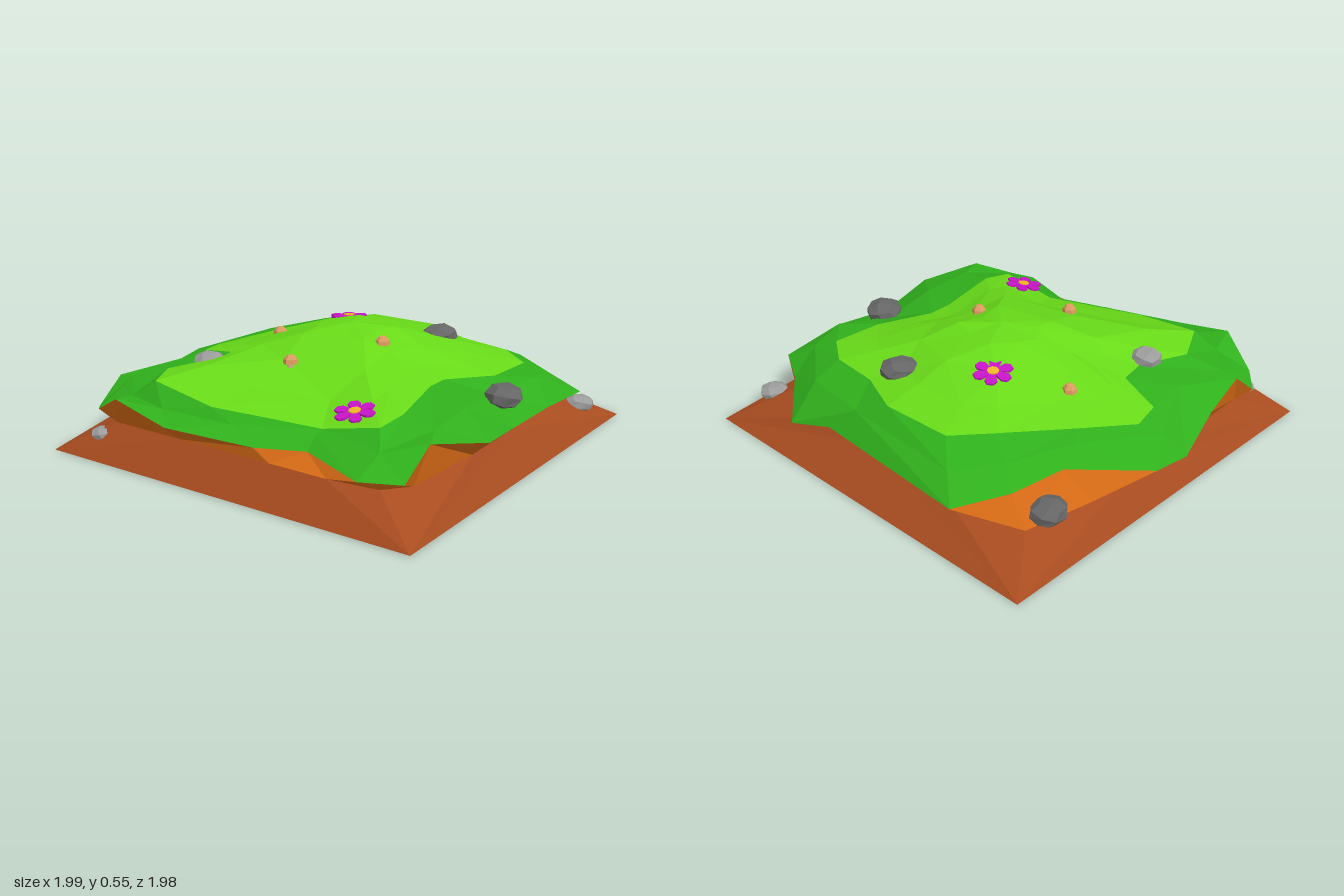
import * as THREE from 'three';

const PEAK = [0, 0.545, -0.05];

// Outlines as x, y, z triples
const WAIST = [
  -.8, .13, -.74, -.4, .16, -.82, .1, .17, -.8, .5, .16, -.84, .75, .16, -.72, .84, .16, -.5,
  .86, .17, -.1, .87, .17, .3, .82, .15, .7, .74, .16, .83, .5, .165, .87, .2, .165, .87,
  -.3, .165, .87, -.7, .16, .86, -.84, .14, .7, -.87, .16, .3, -.87, .15, -.1, -.87, .13, -.4,
];
const RIM = [
  -.58, .25, -.965, .315, .2, -.87, .52, .16, -.93, .77, .21, -.71, .95, .22, -.61, .96, .25, -.24,
  .935, .23, .04, .985, .27, .36, .855, .32, .63, .85, .2, .815, .67, .2, .895, .34, .22, .78,
  .12, .22, .875, -.3, .25, .97, -.6, .32, .96, -.8, .21, .875, -.89, .18, .78, -.88, .3, .64,
  -.915, .24, .4, -1, .18, .1, -.99, .2, -.1, -.75, .27, -.45, -.71, .27, -.73,
];
const SHOULDER = [
  -.45, .32, -.85, .2, .31, -.8, .55, .3, -.75, .8, .31, -.55, .84, .34, -.36, .75, .31, -.1,
  .78, .34, .2, .8, .33, .5, .68, .28, .74, .33, .265, .71, -.05, .27, .81, -.42, .28, .85,
  -.64, .29, .81, -.8, .31, .64, -.75, .33, .35, -.9, .28, .05, -.72, .33, -.33, -.6, .33, -.65,
];
const LAWN = [
  -.32, .38, -.73, .04, .38, -.745, .28, .37, -.64, .54, .36, -.61, .7, .35, -.495, .68, .35, -.24,
  .545, .37, 0, .545, .37, .12, .63, .36, .48, .61, .34, .63, .33, .285, .66, -.18, .32, .79,
  -.53, .37, .77, -.63, .36, .575, -.53, .36, .34, -.555, .36, .2, -.77, .32, .145, -.8, .31, 0,
  -.65, .345, -.265, -.46, .38, -.57,
];

function points(list) {
  const out = [];
  for (let i = 0; i < list.length; i += 3) out.push(list.slice(i, i + 3));
  return out;
}

const angle = (p) => Math.atan2(p[2] - PEAK[2], p[0] - PEAK[0]);

// Joins two rings of different counts with triangles, walking round by angle
function stitch(outer, inner, out) {
  const A = [...outer].sort((a, b) => angle(a) - angle(b));
  const B = [...inner].sort((a, b) => angle(a) - angle(b));
  const at = (r, i) => r[i % r.length];
  const turn = (r, i) => angle(at(r, i)) + (i >= r.length ? Math.PI * 2 : 0);
  const middle = (r, i) => (turn(r, i) + turn(r, i + 1)) / 2;
  const nB = B.length > 1 ? B.length : 0;
  let i = 0, j = 0;
  while (i < A.length || j < nB) {
    const stepA = j >= nB || (i < A.length && middle(A, i) <= middle(B, j));
    if (stepA) {
      out.push(...at(A, i), ...at(B, j), ...at(A, i + 1));
      i++;
    } else {
      out.push(...at(A, i), ...at(B, j), ...at(B, j + 1));
      j++;
    }
  }
}

const material = (color, side = THREE.FrontSide) =>
  new THREE.MeshStandardMaterial({ color, flatShading: true, side });

function addMesh(parent, name, geometry, mat) {
  const mesh = new THREE.Mesh(geometry, mat);
  mesh.name = name;
  parent.add(mesh);
  return mesh;
}

// A faceted skin over a sequence of rings, outermost (or lowest) first
function addSkin(parent, name, rings, color) {
  const pos = [];
  for (let k = 0; k + 1 < rings.length; k++) stitch(rings[k], rings[k + 1], pos);
  const geo = new THREE.BufferGeometry();
  geo.setAttribute('position', new THREE.Float32BufferAttribute(pos, 3));
  geo.computeVertexNormals();
  return addMesh(parent, name, geo, material(color, THREE.DoubleSide));
}

// Chunky rock: a subdivided cube pushed out to a sphere and flattened
function addRock(parent, name, x, y, z, r, color) {
  const geo = new THREE.BoxGeometry(1, 1, 1, 2, 2, 2);
  const pos = geo.attributes.position;
  const v = new THREE.Vector3();
  for (let i = 0; i < pos.count; i++) {
    v.fromBufferAttribute(pos, i).setLength(r);
    pos.setXYZ(i, v.x, v.y, v.z);
  }
  geo.rotateX(0.35);
  geo.rotateZ(0.3);
  const rock = addMesh(parent, name, geo, material(color));
  rock.scale.set(0.95, 0.6, 1.05);
  rock.rotation.y = x * 5 + z * 3;
  rock.position.set(x, y, z);
}

function addFlower(parent, x, y, z, tiltX, tiltZ) {
  const flower = new THREE.Group();
  flower.name = 'flower';
  // Petal: narrow at the centre, broad and blunt outside
  const petalShape = new THREE.Shape(
    [[0.015, -0.012], [0.07, -0.029], [0.093, -0.016], [0.093, 0.016], [0.07, 0.029], [0.015, 0.012]]
      .map((p) => new THREE.Vector2(...p)));
  const petalGeo = new THREE.ExtrudeGeometry(petalShape, { depth: 0.01, bevelEnabled: false });
  petalGeo.rotateX(-Math.PI / 2);
  for (let i = 0; i < 6; i++) {
    addMesh(flower, 'petal', petalGeo, material(0xc814c8)).rotation.y = (i / 6) * Math.PI * 2;
  }
  addMesh(flower, 'flowerCentre', new THREE.CylinderGeometry(0.028, 0.032, 0.03, 8), material(0xf0b428));
  flower.position.set(x, y, z);
  flower.rotation.set(tiltX, 0.1, tiltZ);
  parent.add(flower);
}

// Domed cap sitting low in the grass on a short stem
function addMushroom(parent, x, y, z) {
  const mushroom = new THREE.Group();
  mushroom.name = 'mushroom';
  const cap = new THREE.LatheGeometry(
    [[0, 0], [0.037, 0], [0.033, 0.02], [0.018, 0.037], [0, 0.042]].map((p) => new THREE.Vector2(...p)), 6);
  addMesh(mushroom, 'mushroomCap', cap, material(0xdc9c60));
  addMesh(mushroom, 'mushroomStem', new THREE.CylinderGeometry(0.016, 0.018, 0.04, 6), material(0xdcb488))
    .position.y = -0.015;
  mushroom.position.set(x, y, z);
  parent.add(mushroom);
}

export function createModel() {
  const model = new THREE.Group();
  model.name = 'grassyMound';
  const waist = points(WAIST), rim = points(RIM), shoulder = points(SHOULDER), lawn = points(LAWN);

  // Soil: sloping foot, underside and overhanging lip
  const foot = [[-0.99, 0, -0.99], [0.99, 0, -0.99], [0.99, 0, 0.99], [-0.99, 0, 0.99]];
  addSkin(model, 'soilBase', [foot, waist], 0xa84c20);
  const bottom = addMesh(model, 'soilBottom', new THREE.PlaneGeometry(1.98, 1.98), material(0xa84c20));
  bottom.rotation.x = Math.PI / 2;
  addSkin(model, 'soilLip', [waist, rim], 0xd66a16);

  // Dark grass border
  addSkin(model, 'grassBorder', [rim, shoulder, lawn], 0x30b01c);

  // Light lawn rising to a rounded peak, slightly uneven
  const lift = [[0.75, 0.22], [0.5, 0.55], [0.25, 0.87]];
  const rings = lift.map(([t, f], k) => lawn.filter((_, i) => k < 1 || i % 2 === k % 2).map((p, i) => [
    PEAK[0] + (p[0] - PEAK[0]) * t,
    p[1] + (PEAK[1] - p[1]) * f + 0.006 * Math.sin(i * 2.7 + k),
    PEAK[2] + (p[2] - PEAK[2]) * t,
  ]));
  addSkin(model, 'lawn', [lawn, ...rings, [PEAK]], 0x68da18);

  // Rocks
  addRock(model, 'darkRock', 0.21, 0.405, -0.52, 0.092, 0x666666);
  addRock(model, 'darkRock', 0.81, 0.32, -0.085, 0.098, 0x666666);
  addRock(model, 'darkRock', -0.82, 0.18, -0.62, 0.092, 0x666666);
  addRock(model, 'lightRock', -0.52, 0.375, 0.4, 0.077, 0x9c9c9c);
  addRock(model, 'lightRock', 0.88, 0.105, -0.76, 0.072, 0x9c9c9c);
  addRock(model, 'lightRock', -0.77, 0.095, 0.88, 0.06, 0x9c9c9c);

  // Flowers and mushrooms
  addFlower(model, -0.21, 0.475, -0.325, -0.1, 0.08);
  addFlower(model, 0.44, 0.355, 0.57, 0.18, 0.03);
  for (const [x, y, z] of [[-0.04, 0.445, 0.39], [0.22, 0.488, 0.02], [-0.48, 0.392, -0.105]]) {
    addMushroom(model, x, y, z);
  }
  return model;
}
